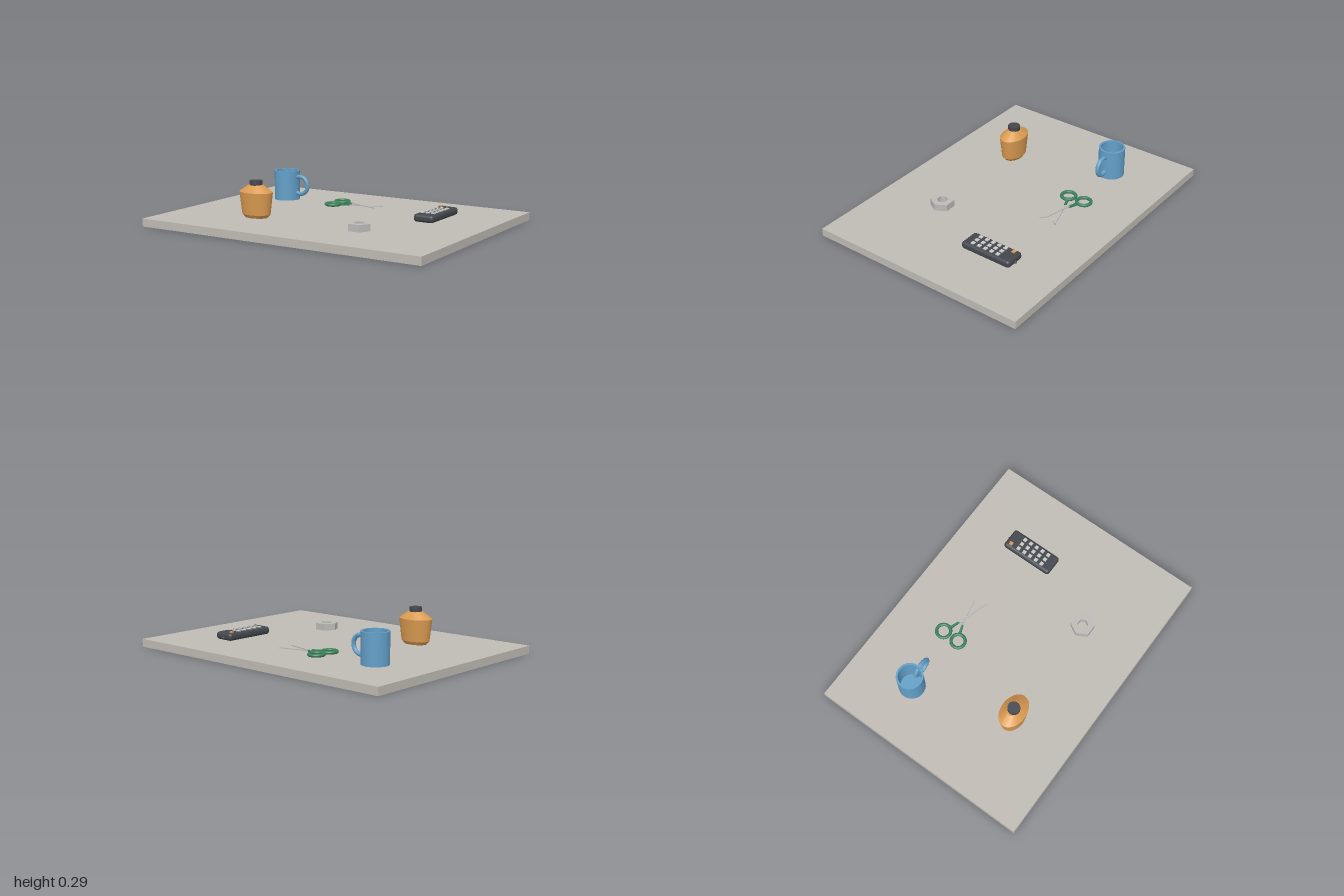
import * as THREE from 'three';
import { toCreasedNormals } from 'three/addons/utils/BufferGeometryUtils.js';
import { RoundedBoxGeometry } from 'three/addons/geometries/RoundedBoxGeometry.js';

const TOP = 0.052; // height of the board's upper face

function material(name, color) {
  const m = new THREE.MeshStandardMaterial({ color });
  m.name = name;
  return m;
}

function add(parent, name, geometry, mat, x = 0, y = 0, z = 0) {
  const mesh = new THREE.Mesh(geometry, mat);
  mesh.name = name;
  mesh.position.set(x, y, z);
  parent.add(mesh);
  return mesh;
}

function group(parent, name, x, z) {
  const g = new THREE.Group();
  g.name = name;
  g.position.set(x, TOP, z);
  parent.add(g);
  return g;
}

function lathe(points, segments = 32) {
  const profile = points.map(([r, y]) => new THREE.Vector2(r, y));
  return toCreasedNormals(new THREE.LatheGeometry(profile, segments), 0.45);
}

// Flat plate lying in the xz plane; points are [x, z]
function plate(points, depth) {
  const shape = new THREE.Shape(points.map(([x, z]) => new THREE.Vector2(x, -z)));
  return new THREE.ExtrudeGeometry(shape, { depth, bevelEnabled: false }).rotateX(-Math.PI / 2);
}

export function createModel() {
  const model = new THREE.Group();
  model.name = 'tableObjects';

  const stone = material('warm grey', 0xbfbbb4);
  const blue = material('mug blue', 0x639fc8);
  const amber = material('amber', 0xd99a50);
  const dark = material('charcoal', 0x43474c);
  const green = material('handle green', 0x3a8059);
  const steel = material('steel', 0xbcbab7);
  const light = material('button grey', 0xc8c8c6);

  // Board
  add(model, 'board', new THREE.BoxGeometry(2, TOP, 1.5), stone, 0, TOP / 2, 0);

  // Mug with a ring handle
  const mug = group(model, 'mug', -0.627, -0.327);
  add(mug, 'mugBody', lathe([[0, 0], [0.087, 0], [0.087, 0.202], [0.074, 0.202], [0.074, 0.015], [0, 0.015]]), blue);
  add(mug, 'mugHandle', new THREE.TorusGeometry(0.06, 0.014, 12, 36), blue, 0.109, 0.103, 0);

  // Oval bottle with a round cap
  const bottle = group(model, 'bottle', -0.417, 0.325);
  const body = lathe([[0, 0], [0.08, 0], [0.1, 0.022], [0.118, 0.165], [0.057, 0.206], [0.05, 0.21], [0, 0.21]], 36);
  add(bottle, 'bottleBody', body, amber).scale.z = 0.69;
  add(bottle, 'bottleCap', new THREE.CylinderGeometry(0.04, 0.04, 0.029, 28), dark, 0, 0.223, 0);

  // Scissors: two mirrored halves crossing at the pivot
  const scissors = group(model, 'scissors', -0.1, -0.329);
  for (const s of [-1, 1]) {
    const ring = new THREE.TorusGeometry(0.046, 0.011, 12, 32).rotateX(Math.PI / 2);
    add(scissors, 'fingerRing', ring, green, -0.114, 0.011, s * 0.059);
    const arm = [[-0.07, 0.047], [-0.01, 0.023], [-0.006, 0.01], [-0.076, 0.03]];
    add(scissors, 'handleArm', plate(arm.map(([x, z]) => [x, s * z]), 0.013), green, 0, 0.003, 0);
    const blade = [[-0.012, 0.02], [0.016, 0.002], [0.207, -0.059], [0.18, -0.026], [0.053, 0.001], [-0.004, 0.024]];
    add(scissors, 'blade', plate(blade.map(([x, z]) => [x, s * z]), 0.006), steel, 0, s > 0 ? 0.004 : 0.0105, 0);
  }
  add(scissors, 'pivot', new THREE.CylinderGeometry(0.01, 0.01, 0.019, 16), steel, 0.008, 0.0105, 0);

  // Hexagonal nut with a hexagonal hole
  const nut = group(model, 'nut', 0.348, 0.322);
  const hexagon = (r) => Array.from({ length: 6 }, (_, i) =>
    new THREE.Vector2(r * Math.cos(i * Math.PI / 3), r * Math.sin(i * Math.PI / 3)));
  const hex = new THREE.Shape(hexagon(0.078));
  hex.holes.push(new THREE.Path(hexagon(0.036).reverse()));
  const nutGeometry = new THREE.ExtrudeGeometry(hex, { depth: 0.045, bevelEnabled: false }).rotateX(-Math.PI / 2);
  add(nut, 'hexNut', nutGeometry, steel);

  // Remote control with a button grid
  const remote = group(model, 'remote', 0.573, -0.25);
  add(remote, 'remoteBody', new RoundedBoxGeometry(0.14, 0.05, 0.362, 4, 0.02), dark, 0, 0.025, 0);
  const button = new THREE.BoxGeometry(0.024, 0.012, 0.023);
  for (let row = 0; row < 5; row++) {
    for (let column = -1; column <= 1; column++) {
      add(remote, 'button', button, light, column * 0.038, 0.05, -0.079 + row * 0.047);
    }
  }
  add(remote, 'powerButton', button, amber, -0.038, 0.05, -0.14);
  add(remote, 'emitter', new THREE.SphereGeometry(0.009, 12, 8), dark, 0, 0.016, -0.18);

  return model;
}
